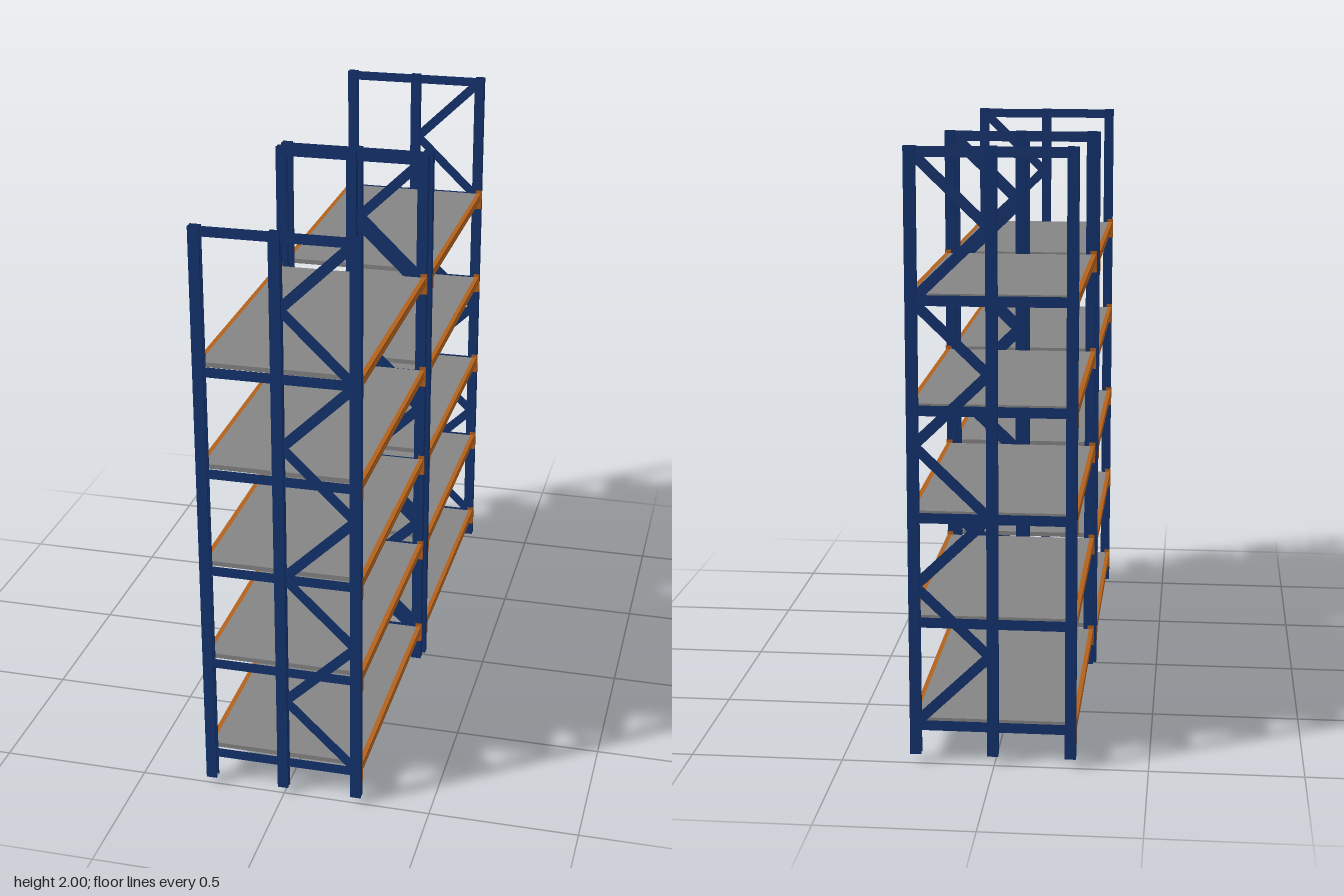
import * as THREE from 'three';

const blue = new THREE.MeshStandardMaterial({ color: 0x14336f, side: THREE.DoubleSide });
const orange = new THREE.MeshStandardMaterial({ color: 0xb4621c, side: THREE.DoubleSide });
const grey = new THREE.MeshStandardMaterial({ color: 0x858585 });

const LEVELS = [0.14, 0.49, 0.838, 1.187, 1.537]; // top of each shelf
const POST_HEIGHT = 1.97;

function add(parent, name, geometry, material, x = 0, y = 0, z = 0) {
  const mesh = new THREE.Mesh(geometry, material);
  mesh.name = name;
  mesh.position.set(x, y, z);
  parent.add(mesh);
  return mesh;
}

// Folded sheet: an open [x, z] outline swept straight up, one flat quad per fold
function foldedSheet(outline, height) {
  const pos = [];
  for (let i = 0; i + 1 < outline.length; i++) {
    const [ax, az] = outline[i], [bx, bz] = outline[i + 1];
    pos.push(ax, 0, az, bx, 0, bz, bx, height, bz, ax, 0, az, bx, height, bz, ax, height, az);
  }
  const g = new THREE.BufferGeometry();
  g.setAttribute('position', new THREE.Float32BufferAttribute(pos, 3));
  g.computeVertexNormals();
  return g;
}

// Upright post: a channel with a grooved face and return lips, open towards -x
const postOutline = [
  [-0.018, -0.007], [-0.018, -0.014], [0.018, -0.014], [0.018, -0.005], [0.013, -0.003],
  [0.013, 0.003], [0.018, 0.005], [0.018, 0.014], [-0.018, 0.014], [-0.018, 0.007],
];

// Flat brace between two points of the frame plane
function addStrip(frame, name, [ax, ay], [bx, by]) {
  const length = Math.hypot(bx - ax, by - ay);
  const strip = add(frame, name, new THREE.PlaneGeometry(length, 0.034), blue, (ax + bx) / 2, (ay + by) / 2);
  strip.rotation.z = Math.atan2(by - ay, bx - ax);
}

// End frame: three posts, level bars, and zigzag bracing on the left half
function makeFrame(name) {
  const frame = new THREE.Group();
  frame.name = name;
  const post = foldedSheet(postOutline, POST_HEIGHT);
  add(frame, 'leftPost', post, blue, 0.252);
  add(frame, 'middlePost', post, blue, 0);
  add(frame, 'rightPost', post, blue, -0.252).rotation.y = Math.PI;

  for (const y of [...LEVELS.map((l) => l - 0.045), POST_HEIGHT - 0.018]) {
    addStrip(frame, 'crossBar', [-0.25, y], [0.25, y]);
  }
  const step = 0.231;
  for (let i = 0; i < 8; i++) {
    const y = 0.105 + i * step;
    const x0 = i % 2 ? 0.01 : 0.25;
    addStrip(frame, 'diagonalBrace', [x0, y], [0.26 - x0, y + step]);
  }
  return frame;
}

// Stepped beam profile running along z, ledge towards the shelf
function beamGeometry(length) {
  const s = new THREE.Shape();
  [[-0.008, -0.027], [0.008, -0.027], [0.008, -0.018], [0.006, -0.016], [0.006, -0.011],
    [0.008, -0.009], [0.008, 0], [-0.008, 0]].forEach(([x, y], i) => (i ? s.lineTo(x, y) : s.moveTo(x, y)));
  const g = new THREE.ExtrudeGeometry(s, { depth: length, bevelEnabled: false });
  return g.translate(0, 0, -length / 2);
}

// Shelf: board, a beam on each side, and a folded bracket at each beam end
function makeShelf(length) {
  const shelf = new THREE.Group();
  shelf.name = 'shelf';
  add(shelf, 'shelfBoard', new THREE.BoxGeometry(0.51, 0.016, length - 0.01), grey, 0, -0.008);
  const beam = beamGeometry(length - 0.004);
  for (const side of [-1, 1]) {
    add(shelf, 'beam', beam, orange, side * 0.262).rotation.y = side < 0 ? Math.PI : 0;
    for (const end of [-1, 1]) {
      const z = end * length / 2;
      const bracket = foldedSheet([[side * 0.25, z], [side * 0.272, z], [side * 0.272, z + end * 0.013]], 0.076);
      add(shelf, 'beamBracket', bracket, orange, 0, -0.064);
    }
  }
  return shelf;
}

export function createModel() {
  const model = new THREE.Group();
  model.name = 'shelvingRack';

  // [bay, x, outer frame base, shelf rise, direction of the outer end]
  for (const [bay, x, base, rise, dir] of [['frontBay', -0.005, 0.02, 0, 1], ['backBay', 0.005, 0.03, 0.004, -1]]) {
    const group = new THREE.Group();
    group.name = bay;
    group.position.x = x;

    const outer = makeFrame('outerFrame');
    outer.position.set(0, base, dir * 0.985);
    const inner = makeFrame('innerFrame');
    inner.position.set(0, 0.005 - (dir > 0 ? 0.005 : 0), dir * 0.018);
    group.add(outer, inner);

    for (const y of LEVELS) {
      const shelf = makeShelf(0.936);
      shelf.position.set(0, y + rise, dir * 0.5015);
      group.add(shelf);
    }
    model.add(group);
  }
  return model;
}
